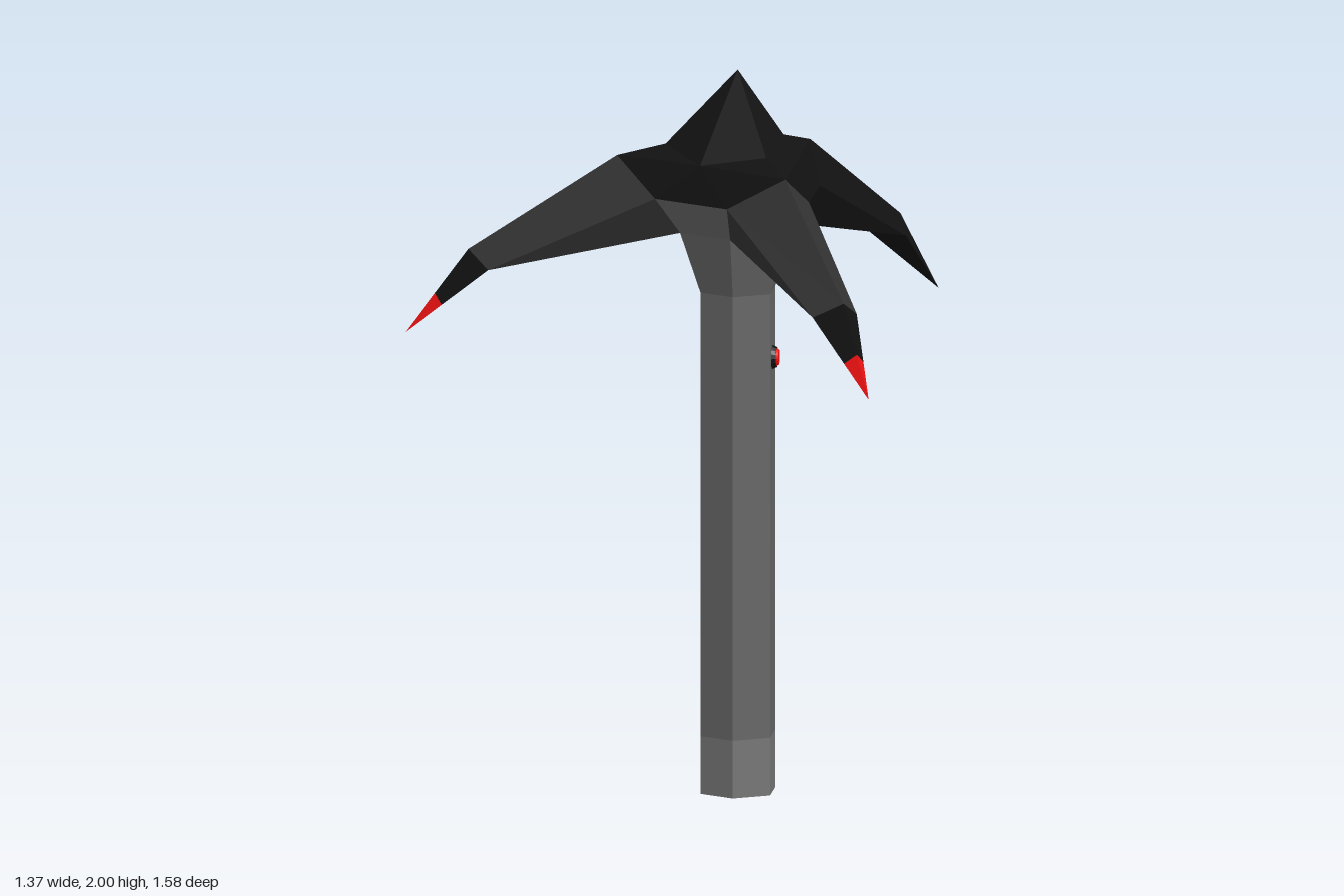
import * as THREE from 'three';

const DEG = Math.PI / 180;
const AXIS_X = 0.227; // the shaft stands off centre

const paint = (color) => new THREE.MeshStandardMaterial({ color, flatShading: true, side: THREE.DoubleSide });
const black = paint(0x121212);
const charcoal = paint(0x333333);
const grey = paint(0x666666);
const lightGrey = paint(0x757575);
const red = paint(0xee1111);

// Flat-shaded mesh from polygons (each a convex list of [x, y, z] corners)
function facets(name, polygons, material) {
  const pos = [];
  for (const p of polygons)
    for (let i = 1; i < p.length - 1; i++) pos.push(...p[0], ...p[i], ...p[i + 1]);
  const geo = new THREE.BufferGeometry();
  geo.setAttribute('position', new THREE.Float32BufferAttribute(pos, 3));
  geo.computeVertexNormals();
  const mesh = new THREE.Mesh(geo, material);
  mesh.name = name;
  return mesh;
}

// Six-sided turned part from [radius, height] pairs
function hexTurned(name, profile, material) {
  const mesh = new THREE.Mesh(new THREE.LatheGeometry(profile.map(([r, y]) => new THREE.Vector2(r, y)), 6), material);
  mesh.name = name;
  return mesh;
}

const mirror = (polygon) => polygon.map(([x, y, z]) => [x, y, -z]).reverse();
const bothSides = (polygons) => [...polygons, ...polygons.map(mirror)];
const polar = (deg, r, y) => [r * Math.cos(deg * DEG), y, r * Math.sin(deg * DEG)];
const lerp = (a, b, t) => a.map((v, i) => v + (b[i] - v) * t);

// Corners of one third of the head; the arm points along +x
const apex = [0, 2, 0];
const crown = [0.197, 1.79, 0];
const ridge = [0.33, 1.755, 0];
const valley = polar(60, 0.17, 1.76);
const hip = polar(30, 0.244, 1.66);
const nextHip = polar(90, 0.244, 1.66);
const neck = polar(30, 0.17, 1.56);
const nextNeck = polar(90, 0.17, 1.56);
const elbowTop = [0.737, 1.485, 0];
const elbow = [0.675, 1.44, 0.065];
const tip = [0.91, 1.25, 0];
const flip = ([x, y, z]) => [x, y, -z];

function createArm(angle, armMaterial, tipMaterial, valleyMaterials) {
  const arm = new THREE.Group();
  arm.name = 'arm';
  arm.rotation.y = -angle * DEG;

  // pointed cap and the collar between this arm and the next
  arm.add(facets('cap', bothSides([[apex, valley, crown], [crown, valley, ridge]]), black));
  arm.add(facets('valley', [[valley, nextHip, hip]], black));
  arm.add(facets('collar', [[nextNeck, neck, hip, nextHip]], grey));
  const gusset = [ridge, valley, hip];
  arm.add(facets('gussetLeft', [gusset], valleyMaterials[0]));
  arm.add(facets('gussetRight', [mirror(gusset)], valleyMaterials[1]));

  // tapering limb
  arm.add(facets('limb', [
    ...bothSides([[hip, elbow, elbowTop, ridge], [neck, elbow, hip]]),
    [neck, flip(neck), flip(elbow), elbow],
  ], armMaterial));

  // claw, split into a dark root and a pointed end
  const rootTop = lerp(elbowTop, tip, 0.53);
  const rootSide = lerp(elbow, tip, 0.56);
  arm.add(facets('clawRoot', [
    ...bothSides([[elbow, rootSide, rootTop, elbowTop]]),
    [elbow, flip(elbow), flip(rootSide), rootSide],
  ], black));
  arm.add(facets('clawPoint', [
    ...bothSides([[rootSide, tip, rootTop]]),
    [rootSide, flip(rootSide), tip],
  ], tipMaterial));
  return arm;
}

export function createModel() {
  const model = new THREE.Group();
  model.name = 'grapplingHook';
  const body = new THREE.Group();
  body.name = 'body';
  body.position.x = AXIS_X;
  model.add(body);

  // handle: foot, shaft and flared neck
  body.add(hexTurned('foot', [[0.11, 0], [0.11, 0.16]], lightGrey));
  body.add(hexTurned('shaft', [[0.11, 0.16], [0.11, 1.39]], grey));
  body.add(hexTurned('neck', [[0.11, 1.39], [0.17, 1.56]], grey));
  body.add(hexTurned('footRecess', [[0, 0.05], [0.085, 0.05], [0.085, 0], [0.11, 0]], black));

  // three arms around the shaft
  body.add(createArm(180, charcoal, red, [grey, black]));
  body.add(createArm(60, charcoal, red, [black, black]));
  body.add(createArm(300, black, black, [black, grey]));

  // trigger button on the side face
  const button = new THREE.Group();
  button.name = 'button';
  button.position.set(0.095, 1.205, 0);
  button.rotation.z = -Math.PI / 2;
  const bezel = new THREE.Mesh(new THREE.CylinderGeometry(0.028, 0.034, 0.014, 16), black);
  bezel.name = 'buttonBezel';
  bezel.position.y = 0.005;
  const cap = new THREE.Mesh(new THREE.CylinderGeometry(0.02, 0.026, 0.008, 16), red);
  cap.name = 'buttonCap';
  cap.position.y = 0.014;
  button.add(bezel, cap);
  body.add(button);

  return model;
}
